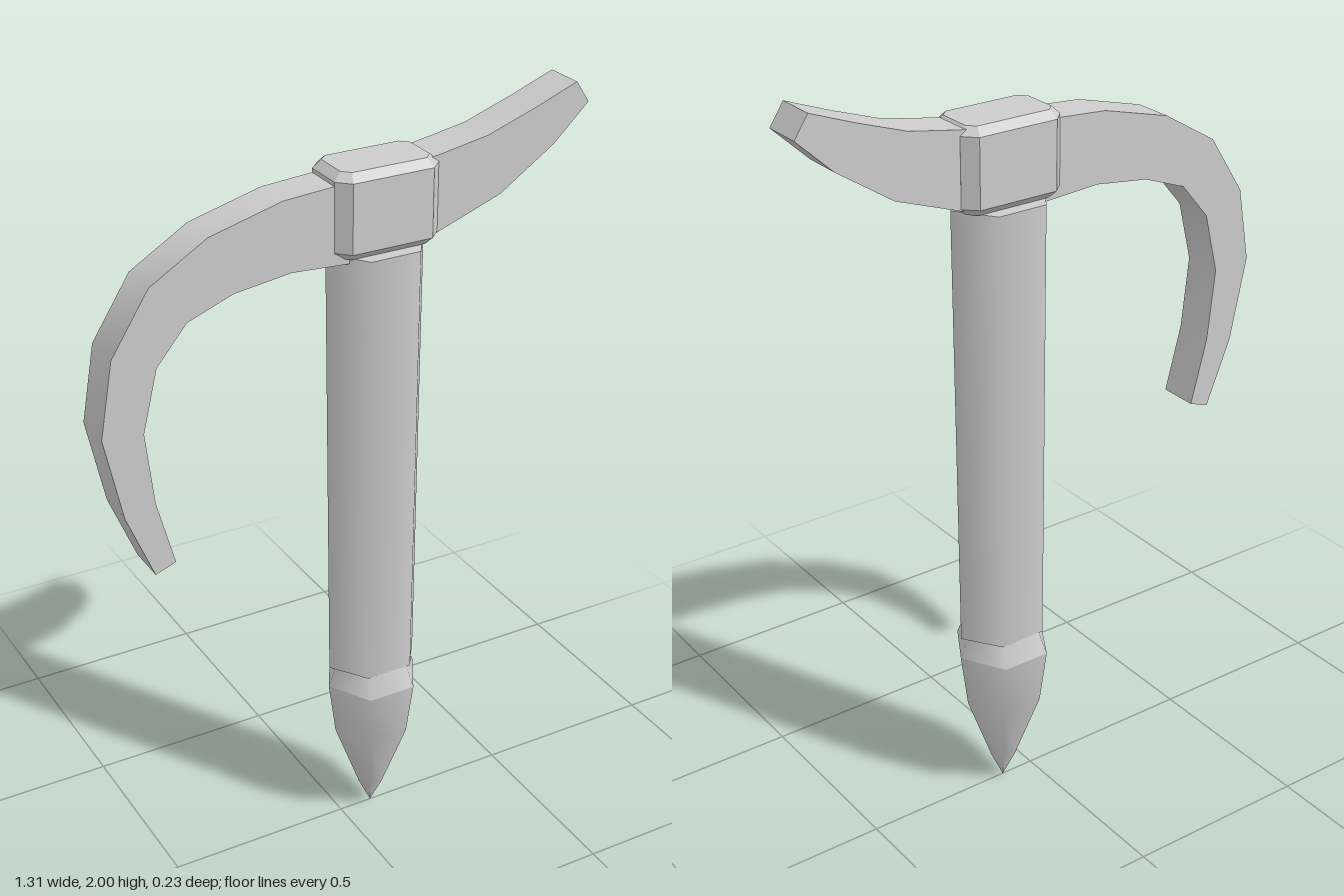
import * as THREE from 'three';
import { toCreasedNormals } from 'three/addons/utils/BufferGeometryUtils.js';

const AXIS_X = 0.093; // the shaft stands a little off centre
const vec = ([x, y]) => new THREE.Vector2(x, y);

export function createModel() {
  const model = new THREE.Group();
  const grey = new THREE.MeshStandardMaterial({ color: 0xcccccc });
  grey.name = 'grey';

  const add = (name, geometry, x = 0, y = 0, z = 0) => {
    const mesh = new THREE.Mesh(geometry, grey);
    mesh.name = name;
    mesh.position.set(x, y, z);
    model.add(mesh);
    return mesh;
  };

  // Curved blade: outer edge from the hooked tip to the raised tip, then back
  const outline = [
    [-0.54, 0.965], [-0.61, 1.14], [-0.655, 1.36], [-0.62, 1.555], [-0.52, 1.71],
    [-0.37, 1.8], [-0.18, 1.85], [-0.04, 1.86], [0.23, 1.885], [0.37, 1.91],
    [0.5, 1.955], [0.618, 2.0], [0.655, 1.945], [0.56, 1.855], [0.41, 1.755],
    [0.23, 1.69], [0, 1.66], [-0.16, 1.67], [-0.31, 1.65], [-0.43, 1.605],
    [-0.51, 1.51], [-0.55, 1.35], [-0.53, 1.16], [-0.485, 0.985],
  ].map(vec);
  const blade = new THREE.ExtrudeGeometry(new THREE.Shape(outline), { depth: 0.106, bevelEnabled: false });
  blade.translate(0, 0, -0.053);
  add('blade', toCreasedNormals(blade, 0.75));

  // Chamfered block that clamps the blade to the handle
  const w = 0.12, d = 0.065, c = 0.02;
  const plan = new THREE.Shape([
    [w, -d + c], [w, d - c], [w - c, d], [-w + c, d],
    [-w, d - c], [-w, -d + c], [-w + c, -d], [w - c, -d],
  ].map(vec));
  const block = new THREE.ExtrudeGeometry(plan, {
    depth: 0.175, bevelEnabled: true, bevelSegments: 1, bevelSize: 0.02, bevelThickness: 0.02,
  });
  block.rotateX(-Math.PI / 2);
  add('headBlock', toCreasedNormals(block, 0.3), AXIS_X, 1.695);

  // Slightly flattened six-sided handle
  const handle = new THREE.CylinderGeometry(0.135, 0.128, 1.185, 6, 1, false, Math.PI / 2);
  handle.scale(1, 1, 0.855);
  add('handle', handle, AXIS_X, 1.0825);

  // Six-sided collar and spike below the handle
  const turned = (points) => new THREE.LatheGeometry(points.map(vec), 6, Math.PI / 2);
  add('collar', turned([[0.13, 0.43], [0.105, 0.495]]), AXIS_X);
  add('spike', turned([[0, 0], [0.037, 0.08], [0.11, 0.28], [0.13, 0.43]]), AXIS_X);

  return model;
}
